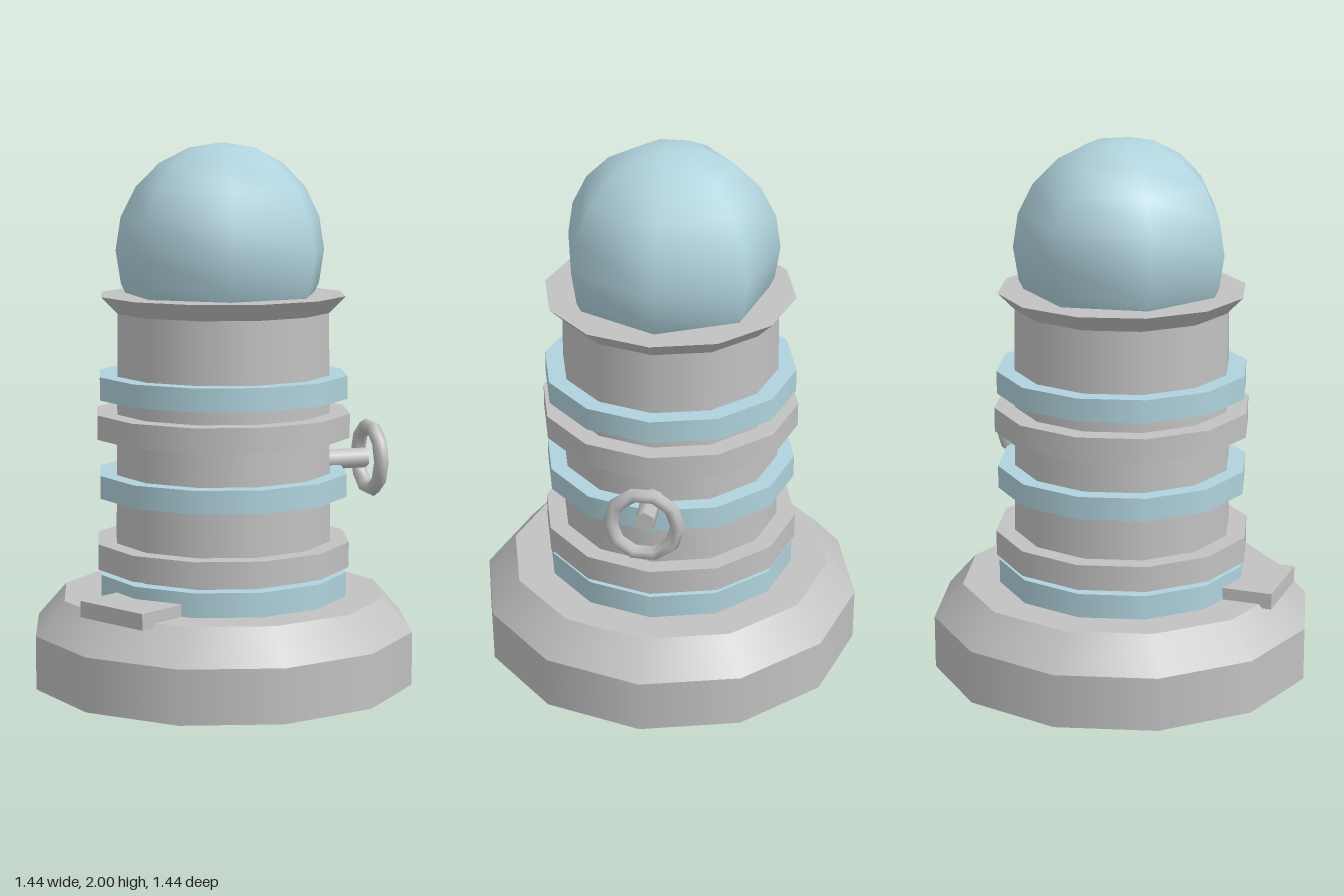
import * as THREE from 'three';

export function createModel() {
  const model = new THREE.Group();
  const grey = new THREE.MeshStandardMaterial({ name: 'stoneGrey', color: 0xc2c2c2 });
  const blue = new THREE.MeshStandardMaterial({ name: 'paleBlue', color: 0xb0d3dd });

  const add = (name, geometry, material, x = 0, y = 0, z = 0) => {
    const mesh = new THREE.Mesh(geometry, material);
    mesh.name = name;
    mesh.position.set(x, y, z);
    model.add(mesh);
    return mesh;
  };
  // Twelve-sided drum between two heights
  const drum = (name, y0, y1, rBottom, rTop, material) =>
    add(name, new THREE.CylinderGeometry(rTop, rBottom, y1 - y0, 12), material, 0, (y0 + y1) / 2);

  // Base and tower
  drum('base', 0, 0.2, 0.72, 0.72, grey);
  drum('baseBevel', 0.2, 0.325, 0.72, 0.61, grey);
  drum('column', 0.32, 1.4, 0.412, 0.4, grey);
  drum('topRim', 1.38, 1.443, 0.4, 0.462, grey);

  // Bands around the tower
  for (const [y0, y1] of [[0.325, 0.415], [0.7, 0.785], [1.065, 1.15]])
    drum('blueBand', y0, y1, 0.47, 0.47, blue);
  for (const [y0, y1] of [[0.435, 0.53], [0.92, 1.01]])
    drum('greyBand', y0, y1, 0.48, 0.48, grey);

  // Seven-sided dome, sunk into the rim
  const dome = add('dome', new THREE.SphereGeometry(0.4, 7, 10), blue, 0, 1.6);
  dome.rotation.y = Math.PI;

  // Hand wheel on its shaft
  const shaft = new THREE.CylinderGeometry(0.038, 0.038, 0.2, 6, 1, false, Math.PI / 6);
  add('wheelShaft', shaft.rotateZ(-Math.PI / 2), grey, 0.475, 0.803);
  const wheel = new THREE.TorusGeometry(0.122, 0.028, 6, 10);
  add('handWheel', wheel.rotateY(Math.PI / 2), grey, 0.59, 0.803);

  // Doorstep slab
  const step = add('step', new THREE.BoxGeometry(0.2, 0.06, 0.31), grey, -0.438, 0.34, 0.29);
  step.rotation.y = Math.PI / 6;

  return model;
}
